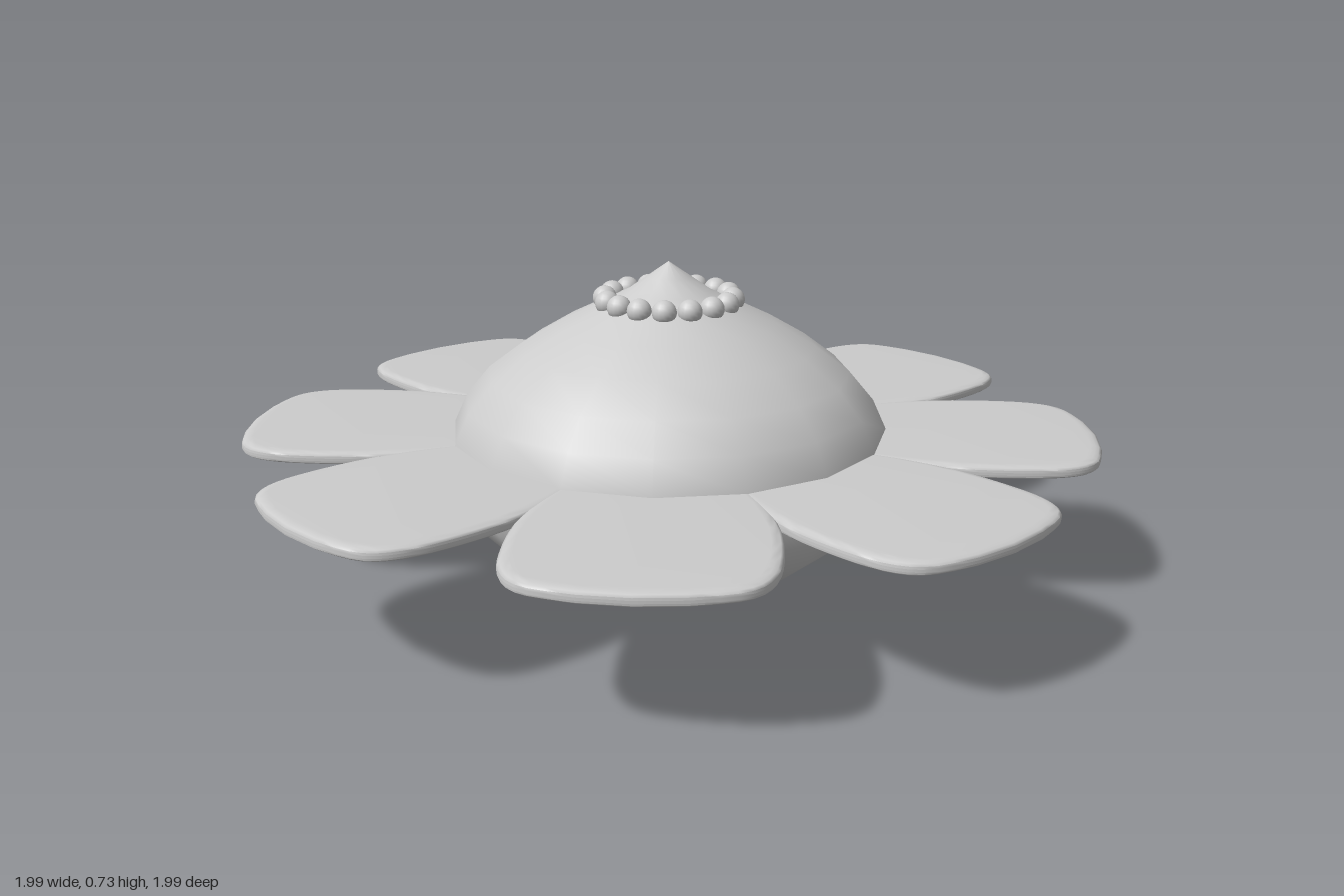
import * as THREE from 'three';
import { toCreasedNormals } from 'three/addons/utils/BufferGeometryUtils.js';

const material = new THREE.MeshStandardMaterial({ color: 0xcccccc });

function addMesh(parent, name, geometry) {
  const mesh = new THREE.Mesh(geometry, material);
  mesh.name = name;
  parent.add(mesh);
  return mesh;
}

// Flat rounded petal lying in the xz plane, pointing along +z from the centre
function petalGeometry() {
  const bevel = 0.025;
  const half = [[0.2, 0.46], [0.235, 0.56], [0.262, 0.68], [0.267, 0.8],
    [0.255, 0.9], [0.215, 0.957], [0.12, 0.985]];
  const side = half.map(([x, z]) => new THREE.Vector2(x - bevel, z - bevel));
  const mirrored = side.map((p) => new THREE.Vector2(-p.x, p.y)).reverse();
  const shape = new THREE.Shape();
  shape.moveTo(0.1, 0.3);
  shape.lineTo(side[0].x, side[0].y);
  shape.splineThru(side.slice(1));
  shape.lineTo(0, 0.993 - bevel);
  shape.lineTo(mirrored[0].x, mirrored[0].y);
  shape.splineThru(mirrored.slice(1));
  shape.lineTo(-0.1, 0.3);
  const geometry = new THREE.ExtrudeGeometry(shape, {
    depth: 0.006, bevelThickness: 0.012, bevelSize: bevel, bevelSegments: 4, curveSegments: 3,
  });
  geometry.translate(0, 0, -0.003);
  geometry.rotateX(Math.PI / 2);
  return toCreasedNormals(geometry, 1.0);
}

export function createModel() {
  const model = new THREE.Group();
  model.name = 'flower';

  // Bulbous centre with a pointed top
  const profile = [[0, 0.002], [0.15, 0.006], [0.28, 0.024], [0.38, 0.066], [0.45, 0.122],
    [0.495, 0.19], [0.515, 0.27], [0.507, 0.34], [0.475, 0.41], [0.42, 0.475],
    [0.34, 0.535], [0.25, 0.588], [0.16, 0.632], [0.1, 0.66], [0.05, 0.695], [0, 0.73]];
  addMesh(model, 'bulb', new THREE.LatheGeometry(
    profile.map(([r, y]) => new THREE.Vector2(r, y)), 16));

  // Eight petals around the bulb
  const petal = petalGeometry();
  for (let i = 0; i < 8; i++) {
    const mesh = addMesh(model, 'petal', petal);
    mesh.position.y = 0.325;
    mesh.rotation.y = (i * Math.PI) / 4;
  }

  // Ring of beads below the tip
  const bead = new THREE.SphereGeometry(0.028, 16, 12);
  for (let i = 0; i < 16; i++) {
    const angle = (i * Math.PI) / 8;
    addMesh(model, 'bead', bead)
      .position.set(0.147 * Math.sin(angle), 0.643, 0.147 * Math.cos(angle));
  }
  return model;
}
